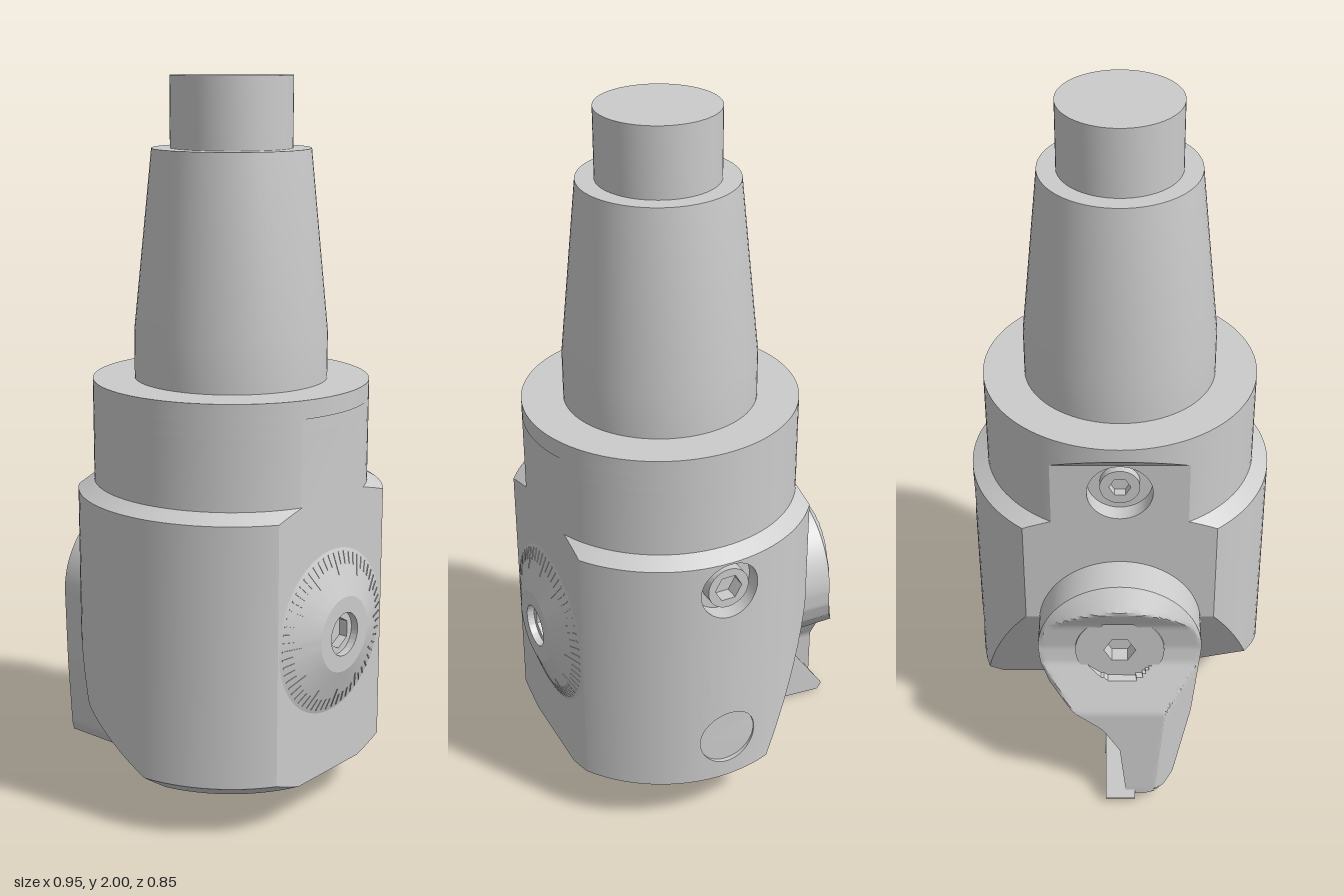
import * as THREE from 'three';
import { toCreasedNormals } from 'three/addons/utils/BufferGeometryUtils.js';

const V = (x, y, z) => new THREE.Vector3(x, y, z);
const material = new THREE.MeshStandardMaterial({ color: 0xcccccc, side: THREE.DoubleSide });
const AXIS = 0.07, EPS = 1e-6;

// ---- convex solids: lists of polygons that each carry their plane ----
function face(points) {
  points.plane = new THREE.Plane().setFromCoplanarPoints(points[0], points[1], points[2]);
  return points;
}

function turned(rings, n = 96) {
  const loops = rings.map(([r, y]) => Array.from({ length: n }, (_, i) => {
    const a = (i / n) * Math.PI * 2;
    return V(r * Math.cos(a), y, -r * Math.sin(a));
  }));
  const faces = [face([...loops[0]].reverse()), face([...loops.at(-1)])];
  for (let j = 0; j + 1 < loops.length; j++) for (let i = 0; i < n; i++) {
    const k = (i + 1) % n;
    faces.push(face([loops[j][i], loops[j][k], loops[j + 1][k], loops[j + 1][i]]));
  }
  return faces;
}

const moved = (faces, matrix) => faces.map(f => face(f.map(p => p.clone().applyMatrix4(matrix))));
const turnedBody = rings => moved(turned(rings), new THREE.Matrix4().makeTranslation(AXIS, 0, 0));

// cut one polygon into the pieces behind and in front of a plane
function split(poly, plane) {
  const d = poly.map(p => plane.distanceToPoint(p));
  if (Math.max(...d) <= EPS) return [poly, null];
  if (Math.min(...d) >= -EPS) return [null, poly];
  const a = [], b = [];
  poly.forEach((p, i) => {
    const k = (i + 1) % poly.length;
    if (d[i] <= EPS) a.push(p);
    if (d[i] >= -EPS) b.push(p);
    if ((d[i] < -EPS && d[k] > EPS) || (d[i] > EPS && d[k] < -EPS)) {
      const m = p.clone().lerp(poly[k], d[i] / (d[i] - d[k]));
      a.push(m); b.push(m);
    }
  });
  a.plane = b.plane = poly.plane;
  return [a, b];
}

// keep the part of a convex solid behind a plane and close it
function clip(faces, normal, point) {
  const plane = new THREE.Plane().setFromNormalAndCoplanarPoint(normal.clone().normalize(), point);
  const kept = faces.map(f => split(f, plane)[0]).filter(Boolean);
  const rim = [];
  kept.flat().forEach(p => {
    if (Math.abs(plane.distanceToPoint(p)) < 1e-5 && !rim.some(q => q.distanceTo(p) < 1e-5)) rim.push(p);
  });
  if (rim.length < 3) return kept;
  const c = rim.reduce((s, p) => s.add(p), V(0, 0, 0)).divideScalar(rim.length);
  const u = rim[0].clone().sub(c).normalize(), w = plane.normal.clone().cross(u);
  const angle = p => Math.atan2(p.clone().sub(c).dot(w), p.clone().sub(c).dot(u));
  rim.sort((p, q) => angle(p) - angle(q));
  rim.plane = plane;
  return [...kept, rim];
}

// sink a convex cutter into a solid whose convex hull is given
function subtract(faces, cutter, hull) {
  const out = [];
  for (const f of faces) {
    let rest = f;
    const pieces = [];
    for (const c of cutter) {
      const [inside, outside] = split(rest, c.plane);
      if (outside) pieces.push(outside);
      rest = inside;
      if (!rest) break;
    }
    out.push(...(rest ? pieces : [f]));
  }
  for (const c of cutter) {
    let rest = c;
    for (const h of hull) if (rest) rest = split(rest, h.plane)[0];
    if (rest) out.push([...rest].reverse());
  }
  return out;
}

function solid(faces) {
  const pos = [];
  faces.forEach(f => {
    for (let i = 1; i + 1 < f.length; i++) [f[0], f[i], f[i + 1]].forEach(p => pos.push(p.x, p.y, p.z));
  });
  return new THREE.BufferGeometry().setAttribute('position', new THREE.Float32BufferAttribute(pos, 3));
}

function add(group, name, geometry, crease = 0.45) {
  const mesh = new THREE.Mesh(toCreasedNormals(geometry, crease), material);
  mesh.name = name;
  group.add(mesh);
  return mesh;
}

// disc facing +z with a hexagonal socket
function socketDisc(r, hex, depth) {
  const shape = new THREE.Shape().absarc(0, 0, r, 0, Math.PI * 2);
  shape.holes.push(new THREE.Path(Array.from({ length: 6 }, (_, i) =>
    new THREE.Vector2(hex * Math.cos(i * Math.PI / 3), hex * Math.sin(i * Math.PI / 3)))));
  return new THREE.ExtrudeGeometry(shape, { depth, bevelEnabled: false, curveSegments: 32 });
}

// piecewise linear lookup, keys ascending
function lerpTable(table, y) {
  const i = Math.min(Math.max(table.findIndex(t => t[0] >= y), 1), table.length - 1);
  const [a, b] = [table[i - 1], table[i]];
  return THREE.MathUtils.mapLinear(y, a[0], b[0], a[1], b[1]);
}

function armGeometry() {
  const outer = [[0.02, -0.46], [0.05, -0.46], [0.34, -0.44], [0.48, -0.372], [0.53, -0.365], [0.62, -0.375], [0.7, -0.41], [0.77, -0.45]];
  const inner = [[0.02, -0.165], [0.13, -0.16], [0.25, -0.235], [0.77, -0.235]];
  const back = [[0.02, 0.02], [0.2, 0.0], [0.28, -0.05], [0.35, -0.14], [0.42, -0.2], [0.48, -0.225], [0.53, -0.23]];
  const front = [[0.025, 0.07], [0.045, 0.13], [0.08, 0.155], [0.3, 0.205], [0.53, 0.23]];
  const rows = [], n = 48, pos = [], index = [];
  for (let i = 0; i < 24; i++) rows.push(0.53 + 0.23 * Math.cos((i / 24) * Math.PI / 2));
  for (let i = 0; i <= 50; i++) rows.push(0.53 - 0.505 * i / 50);
  rows.forEach(y => {
    const half = Math.sqrt(Math.max(0, 0.0529 - (y - 0.53) ** 2));
    const z0 = y > 0.53 ? -half : lerpTable(back, y), z1 = y > 0.53 ? half : lerpTable(front, y);
    for (let i = 0; i < 2 * n; i++) {
      const t = i < n ? i / (n - 1) : (2 * n - 1 - i) / (n - 1), z = z0 + (z1 - z0) * t;
      const rho = Math.hypot(z, Math.max(0, y - 0.53));
      let x = Math.max(lerpTable(outer, y), -0.365 - 0.75 * (0.23 - rho));
      if (Math.hypot(z, y - 0.53) < 0.1) x = -0.33;
      pos.push(i < n ? x : lerpTable(inner, y), y, z);
    }
  });
  const m = 2 * n, last = (rows.length - 1) * m;
  for (let j = 0; j + 1 < rows.length; j++) for (let i = 0; i < m; i++) {
    const k = (i + 1) % m, a = j * m;
    index.push(a + i, a + m + i, a + m + k, a + i, a + m + k, a + k);
  }
  for (let i = 0; i < m; i++) index.push(rows.length * m, last + (i + 1) % m, last + i);
  pos.push(-0.31, 0.025, 0.045);
  const g = new THREE.BufferGeometry().setAttribute('position', new THREE.Float32BufferAttribute(pos, 3));
  g.setIndex(index);
  return g;
}

export function createModel() {
  const model = new THREE.Group();
  const right = V(1, 0, 0), left = V(-1, 0, 0);

  // shank: tapered, with a plain stud on top
  add(model, 'shank', new THREE.LatheGeometry([[0, 1.18], [0.265, 1.18], [0.265, 1.32], [0.215, 1.81],
    [0.165, 1.81], [0.165, 2], [0, 2]].map(p => new THREE.Vector2(...p)), 72)).position.x = AXIS;

  // body: chamfered drum with two flats, a slanted underside and a clearance facet
  let hull = turnedBody([[0.38, 0.12], [0.425, 0.155], [0.425, 0.88], [0.38, 0.905]]);
  hull = clip(hull, right, V(0.425, 0, 0));
  hull = clip(hull, left, V(-0.26, 0, 0));
  hull = clip(hull, V(-0.43, -0.21, 0), V(-0.05, 0.12, 0));
  hull = clip(hull, V(-0.068, -0.117, 0.037), V(-0.05, 0.12, 0));
  const bore = (r, y, floor) => moved(turned([[r, 0], [r, 0.3]], 40),
    new THREE.Matrix4().makeTranslation(AXIS, y, floor).multiply(new THREE.Matrix4().makeRotationX(-Math.PI / 2)));
  let body = subtract(hull, bore(0.085, 0.79, -0.37), hull);
  body = subtract(body, bore(0.085, 0.29, -0.412), hull);
  add(model, 'body', solid(body));
  const backScrew = add(model, 'backScrew', socketDisc(0.06, 0.04, 0.04));
  backScrew.position.set(AXIS, 0.79, -0.37);
  backScrew.rotation.y = Math.PI;

  // collar: flats below, full round rim above
  let lower = turnedBody([[0.38, 0.9], [0.38, 1.1]]);
  lower = clip(clip(lower, right, V(0.425, 0, 0)), left, V(-0.26, 0, 0));
  const pocket = moved(turned([[0.09, 0], [0.09, 0.3]], 40),
    new THREE.Matrix4().makeTranslation(-0.21, 1.005, 0).multiply(new THREE.Matrix4().makeRotationZ(Math.PI / 2)));
  add(model, 'collar', solid(subtract(lower, pocket, lower)));
  const undercut = f => clip(f, V(-1, -1, 0), V(-0.26, 1.1, 0));
  add(model, 'collarUndercut', solid(clip(undercut(turnedBody([[0.38, 1.1], [0.38, 1.14]])), right, V(0.425, 0, 0))));
  add(model, 'collarRim', solid(undercut(turnedBody([[0.38, 1.14], [0.38, 1.19]]))));
  const sideScrew = add(model, 'sideScrew', socketDisc(0.055, 0.03, 0.025));
  sideScrew.position.set(-0.21, 1.005, 0);
  sideScrew.rotation.y = -Math.PI / 2;

  // graduated dial
  const dial = new THREE.Group();
  dial.name = 'dial';
  dial.position.set(0.425, 0.53, 0);
  dial.rotation.z = -Math.PI / 2;
  add(dial, 'dialCone', new THREE.LatheGeometry([[0.23, -0.01], [0.23, 0], [0.105, 0.046], [0.06, 0.046],
    [0.06, 0.003]].map(p => new THREE.Vector2(...p)), 72), 0.3);
  const socket = add(dial, 'dialSocket', socketDisc(0.06, 0.045, 0.025));
  socket.rotation.x = -Math.PI / 2;
  for (let i = 0; i < 60; i++) {
    const length = i % 5 ? 0.035 : 0.06, spoke = new THREE.Group();
    const tick = add(spoke, 'dialTick', new THREE.BoxGeometry(length, 0.003, 0.004));
    const r = 0.222 - length / 2;
    tick.position.set(r, (0.23 - r) * 0.368, 0);
    tick.rotation.z = -Math.atan(0.368);
    spoke.rotation.y = (i / 60) * Math.PI * 2;
    spoke.name = 'dialMark';
    dial.add(spoke);
  }
  model.add(dial);

  // swinging tool arm with pivot screw
  add(model, 'toolArm', armGeometry(), 0.4);
  const pivot = add(model, 'pivotScrew', socketDisc(0.125, 0.045, 0.045));
  pivot.position.set(-0.33, 0.53, 0);
  pivot.rotation.y = -Math.PI / 2;

  // triangular cutting insert and its clamp screw
  const tri = new THREE.Shape([[-0.475, 0.02], [-0.46, 0], [-0.165, 0.025], [-0.16, 0.045], [-0.28, 0.26], [-0.305, 0.26]]
    .map(p => new THREE.Vector2(...p)));
  add(model, 'cuttingInsert', new THREE.ExtrudeGeometry(tri, { depth: 0.085, bevelEnabled: false })).position.z = -0.04;
  const clamp = add(model, 'insertScrew', new THREE.CylinderGeometry(0.05, 0.05, 0.03, 32));
  clamp.position.set(-0.31, 0.105, -0.029);
  clamp.rotation.x = Math.PI / 2;
  return model;
}
